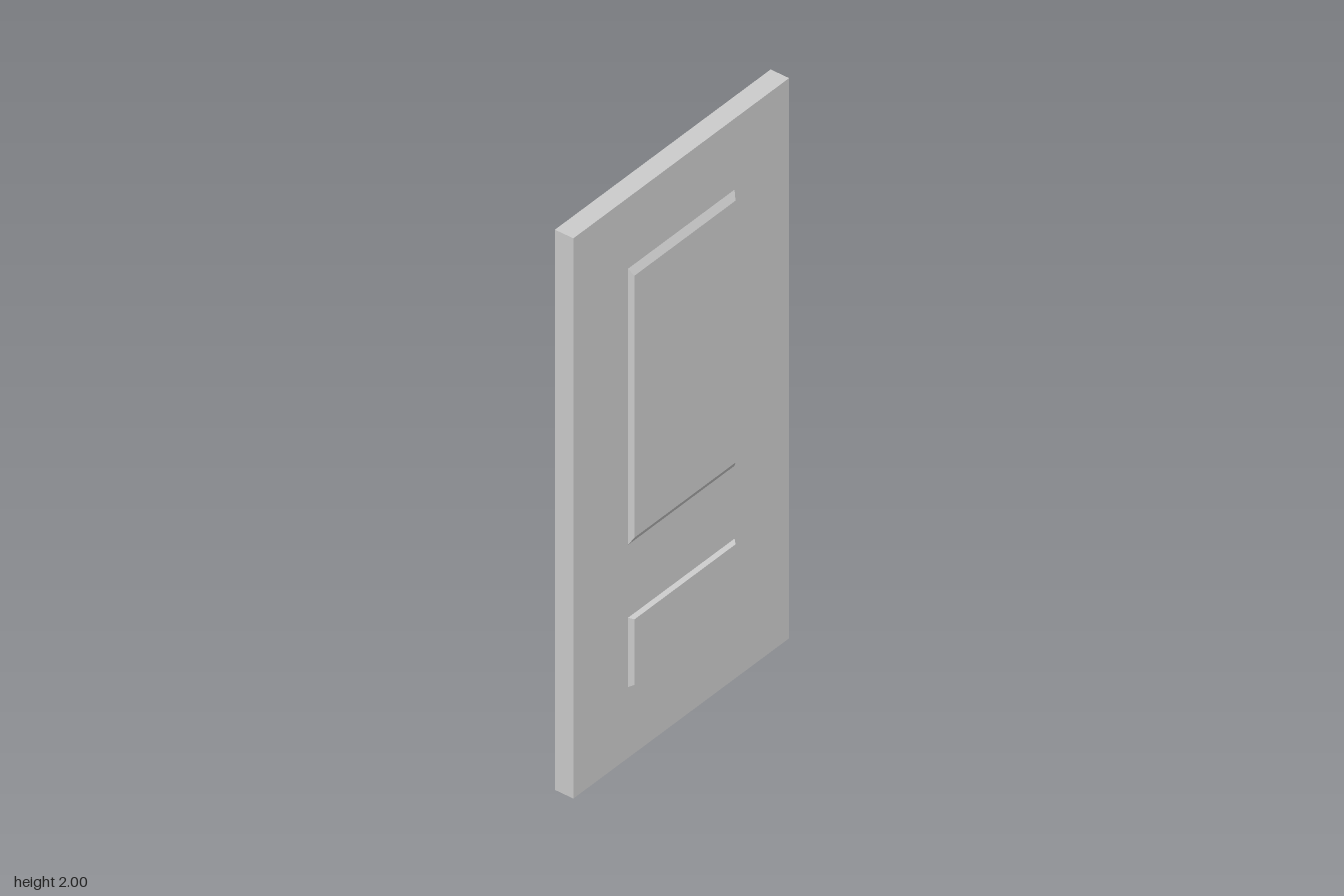
import * as THREE from 'three';

const material = new THREE.MeshStandardMaterial({ color: 0xcccccc, flatShading: true });

// Raised panel: a box whose outer x face is drawn in to leave bevelled edges
function raisedPanel(name, side, bottom, top, bevelY) {
  const inner = side > 0 ? 0.03 : -0.032;
  const outer = side * 0.047;
  const geometry = new THREE.BoxGeometry(1, 1, 1);
  const p = geometry.attributes.position;
  for (let i = 0; i < p.count; i++) {
    const isOuter = p.getX(i) * side > 0;
    const up = p.getY(i) > 0;
    const inset = isOuter ? bevelY : 0;
    p.setXYZ(
      i,
      isOuter ? outer : inner,
      up ? top - inset : bottom + inset,
      Math.sign(p.getZ(i)) * (isOuter ? 0.234 : 0.25)
    );
  }
  geometry.computeVertexNormals();
  const mesh = new THREE.Mesh(geometry, material);
  mesh.name = name;
  return mesh;
}

export function createModel() {
  const door = new THREE.Group();
  door.name = 'door';

  // Plain door leaf
  const slab = new THREE.Mesh(new THREE.BoxGeometry(0.068, 2, 1), material);
  slab.name = 'doorSlab';
  slab.position.set(-0.001, 1, 0);
  door.add(slab);

  // Tall upper and short lower panel on both faces
  for (const [label, side] of [['left', 1], ['right', -1]]) {
    door.add(raisedPanel(label + 'UpperPanel', side, 0.755, 1.752, 0.031));
    door.add(raisedPanel(label + 'LowerPanel', side, 0.252, 0.502, 0.008));
  }
  return door;
}
